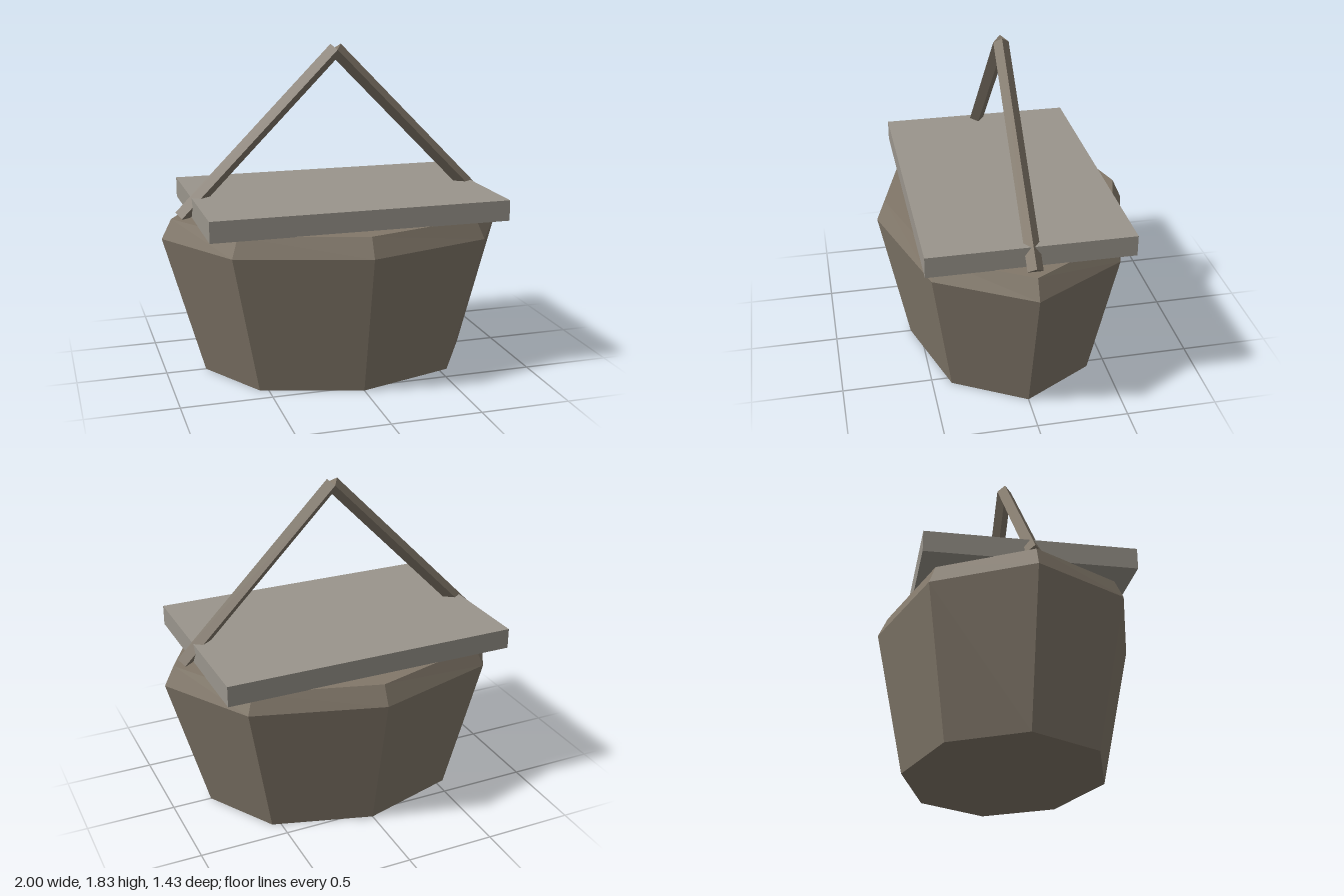
import * as THREE from 'three';

const brown = new THREE.MeshStandardMaterial({ color: 0x82786a, flatShading: true });
const grey = new THREE.MeshStandardMaterial({ color: 0x9a958c, flatShading: true });

function addMesh(parent, name, geometry, material) {
  const mesh = new THREE.Mesh(geometry, material);
  mesh.name = name;
  parent.add(mesh);
  return mesh;
}

// Eight-sided tapered tub with a chamfered rim, squashed in depth
function basketGeometry() {
  const profile = [[0, 0], [0.775, 0], [1, 0.79], [0.945, 0.9], [0, 0.9]]
    .map(([r, y]) => new THREE.Vector2(r, y));
  const geometry = new THREE.LatheGeometry(profile, 8);
  const pos = geometry.attributes.position;
  for (let i = 0; i < pos.count; i++) {
    // the rim is inset evenly, so its top is slightly narrower in depth
    const ratio = pos.getY(i) > 0.85 ? 0.705 : 0.717;
    pos.setZ(i, pos.getZ(i) * ratio);
  }
  geometry.computeVertexNormals();
  return geometry;
}

export function createModel() {
  const model = new THREE.Group();
  model.name = 'picnicBasket';

  addMesh(model, 'basket', basketGeometry(), brown);

  // Flat lid overhanging the rim at its corners
  const lid = addMesh(model, 'lid', new THREE.BoxGeometry(1.66, 0.115, 1.11), grey);
  lid.position.y = 0.955;

  // Two diamond-section bars meeting in a peak
  const handle = new THREE.Group();
  handle.name = 'handle';
  model.add(handle);
  const foot = new THREE.Vector2(0.89, 0.905);
  const peak = new THREE.Vector2(0, 1.805);
  const barGeometry = new THREE.CylinderGeometry(0.042, 0.042, foot.distanceTo(peak), 4);
  for (const side of [1, -1]) {
    const bar = addMesh(handle, side > 0 ? 'leftHandleBar' : 'rightHandleBar', barGeometry, brown);
    bar.position.set(side * foot.x / 2, (foot.y + peak.y) / 2, 0);
    bar.rotation.z = side * Math.atan2(foot.x, peak.y - foot.y);
  }

  return model;
}
